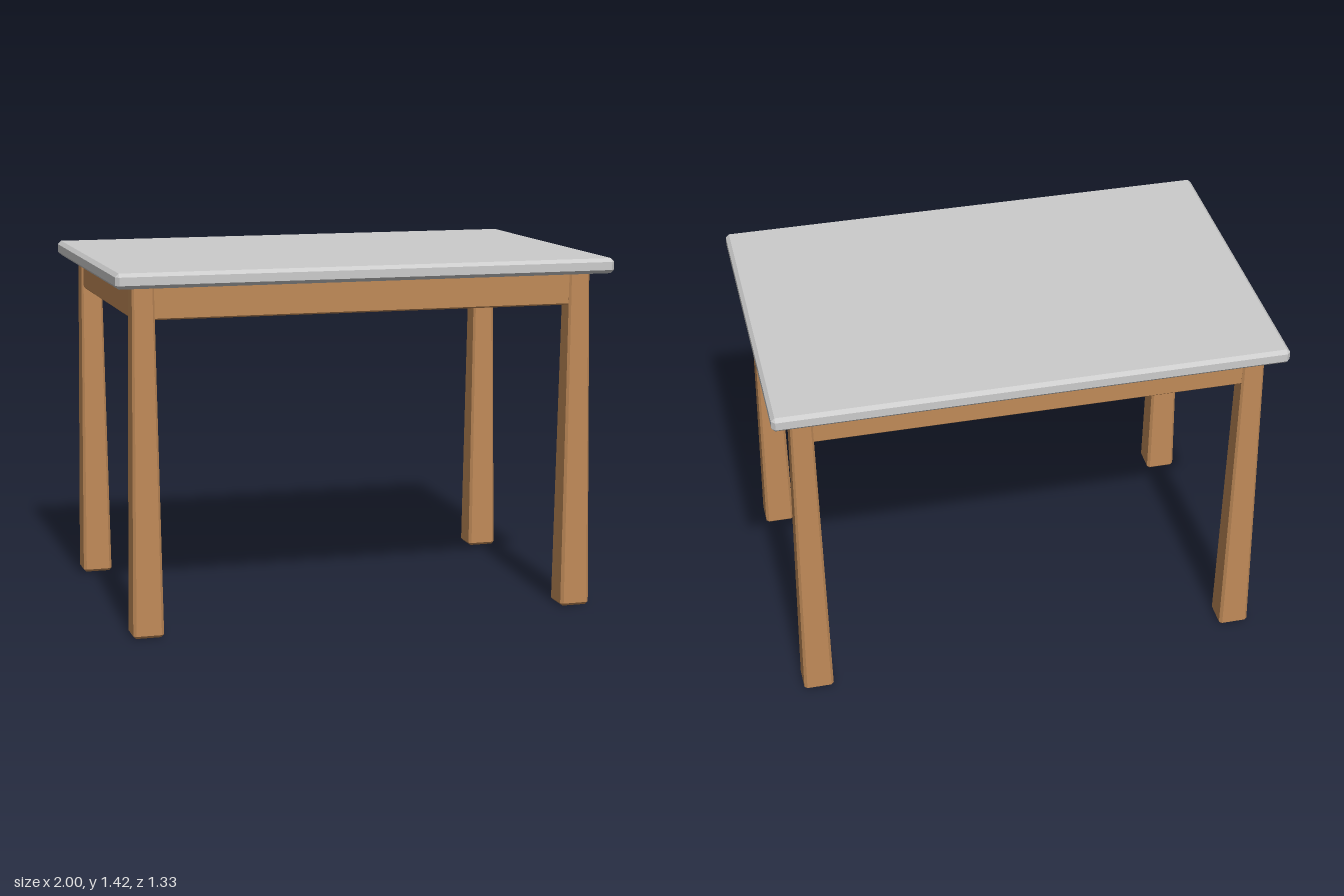
import * as THREE from 'three';
import { ConvexGeometry } from 'three/addons/geometries/ConvexGeometry.js';

// Box with bevelled edges, centred on x and z; topScale tapers it upwards
function bevelledBox(w, h, d, bevel, topScale = 1) {
  const points = [];
  for (const sx of [-1, 1]) for (const sy of [-1, 1]) for (const sz of [-1, 1]) {
    for (let axis = 0; axis < 3; axis++) {
      const inset = [bevel, bevel, bevel];
      inset[axis] = 0;
      const s = sy > 0 ? topScale : 1;
      points.push(new THREE.Vector3(
        sx * (w / 2 - inset[0]) * s,
        h / 2 + sy * (h / 2 - inset[1]),
        sz * (d / 2 - inset[2]) * s
      ));
    }
  }
  return new ConvexGeometry(points);
}

export function createModel() {
  const table = new THREE.Group();
  table.name = 'table';
  const wood = new THREE.MeshStandardMaterial({ color: 0xc08a58, flatShading: true });
  const grey = new THREE.MeshStandardMaterial({ color: 0xcccccc, flatShading: true });

  const add = (name, geometry, material, x, y, z) => {
    const mesh = new THREE.Mesh(geometry, material);
    mesh.name = name;
    mesh.position.set(x, y, z);
    table.add(mesh);
  };

  // Tabletop slab
  add('tabletop', bevelledBox(2, 0.06, 1.33, 0.014), grey, 0, 1.36, 0);

  // Four legs, narrowing towards the top
  const leg = bevelledBox(0.121, 1.365, 0.121, 0.011, 0.7);
  for (const [sz, end] of [[1, 'front'], [-1, 'back']]) {
    for (const [sx, side] of [[1, 'Left'], [-1, 'Right']]) {
      add(`${end}${side}Leg`, leg, wood, sx * 0.882, 0, sz * 0.5475);
    }
  }

  // Aprons under the top, running between the legs
  const longApron = bevelledBox(1.73, 0.134, 0.045, 0.006);
  const shortApron = bevelledBox(0.045, 0.134, 1.06, 0.006);
  add('frontApron', longApron, wood, 0, 1.231, 0.56);
  add('backApron', longApron, wood, 0, 1.231, -0.56);
  add('leftApron', shortApron, wood, 0.895, 1.231, 0);
  add('rightApron', shortApron, wood, -0.895, 1.231, 0);

  return table;
}
